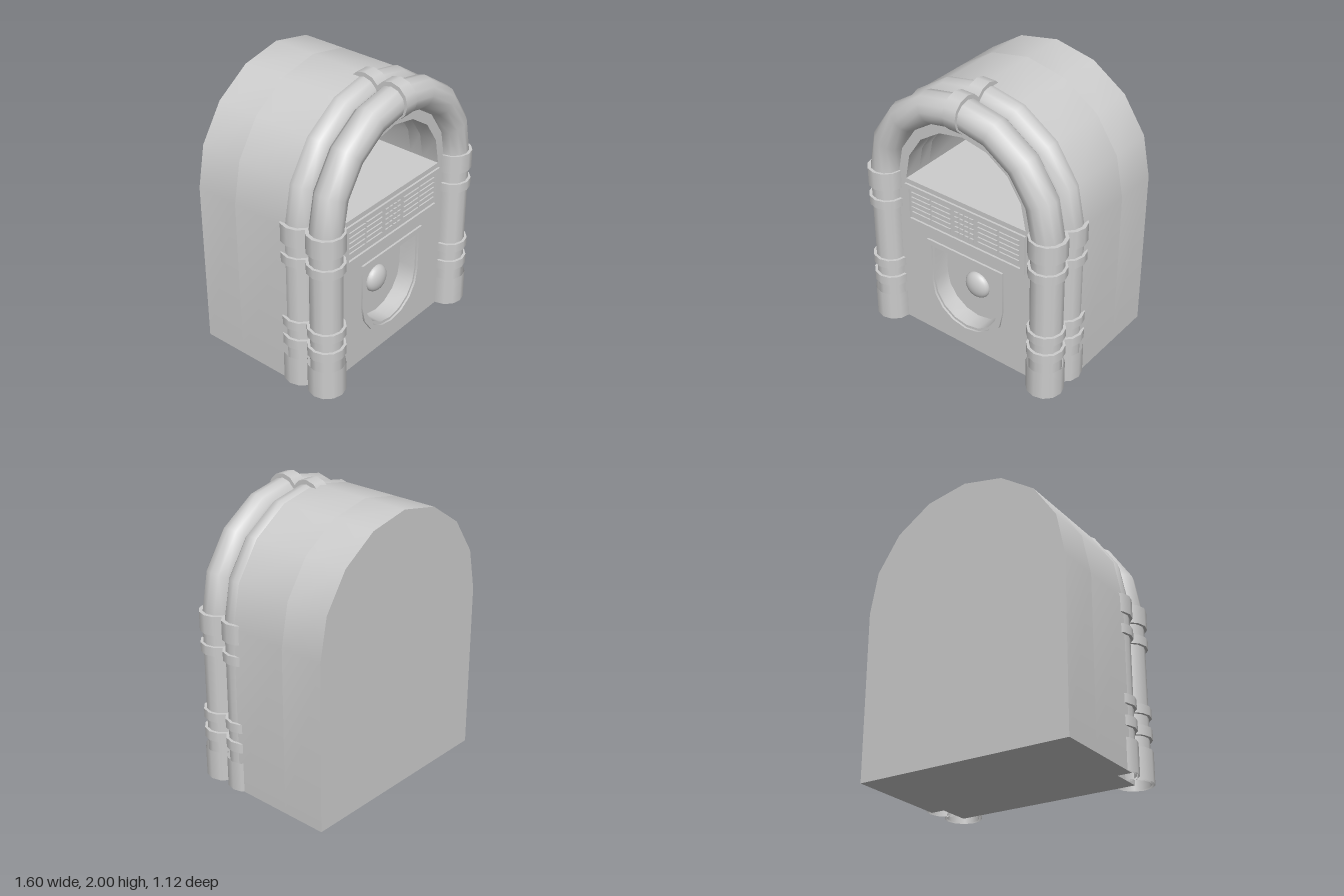
import * as THREE from 'three';
import { toCreasedNormals } from 'three/addons/utils/BufferGeometryUtils.js';

export function createModel() {
  const group = new THREE.Group();
  const grey = new THREE.MeshStandardMaterial({ color: 0xcccccc, side: THREE.DoubleSide });
  grey.name = 'light grey';

  const add = (name, geometry, x = 0, y = 0, z = 0) => {
    const mesh = new THREE.Mesh(geometry, grey);
    mesh.name = name;
    mesh.position.set(x, y, z);
    group.add(mesh);
    return mesh;
  };

  // Outline helpers: eight-sided half circles with straight edges
  const half = (r, cy, from) => Array.from({ length: 9 }, (_, i) => {
    const a = from + (i * Math.PI) / 8;
    return new THREE.Vector2(r * Math.cos(a), cy + r * Math.sin(a));
  });
  const V = (x, y) => new THREE.Vector2(x, y);
  const arch = (r, base, spring) => [V(-r, base), V(r, base), ...half(r, spring, 0)];
  const shield = (r, top, cy) => [V(r, top), V(-r, top), ...half(r, cy, Math.PI)];
  const rect = (w, y0, y1) => [V(-w, y0), V(w, y0), V(w, y1), V(-w, y1)];
  const slab = (name, outline, holes, z0, z1) => {
    const shape = new THREE.Shape(outline);
    holes.forEach((h) => shape.holes.push(new THREE.Path(h)));
    const geo = new THREE.ExtrudeGeometry(shape, { depth: z1 - z0, bevelEnabled: false });
    return add(name, toCreasedNormals(geo, 0.5), 0, 0, z0);
  };

  // Cabinet in layers, with the display window and coin tray recessed
  const windowHole = half(0.495, 1.19, 0);
  const trayHole = shield(0.27, 0.74, 0.45);
  slab('cabinetBack', arch(0.77, 0, 1.2), [], -0.56, -0.24);
  slab('cabinetMiddle', arch(0.77, 0, 1.2), [windowHole], -0.24, 0.2);
  slab('cabinetFront', arch(0.67, 0, 1.2), [windowHole], 0.2, 0.3);
  slab('frontPanel', arch(0.67, 0, 1.2), [windowHole, trayHole], 0.3, 0.43);

  // Records lying flat inside the window
  for (const y of [1.22, 1.35]) {
    add('record', new THREE.CircleGeometry(0.245, 24), 0, y, 0.13).rotation.x = -Math.PI / 2;
  }

  // Two nested arch tubes with columns, collars and a top clasp
  const collars = [[0, 0.22], [0.3, 0.37], [0.45, 0.515], [0.945, 1.01], [1.095, 1.23]];
  for (const z of [0.22, 0.43]) {
    add('archTube', new THREE.TorusGeometry(0.67, 0.11, 12, 8, Math.PI), 0, 1.2, z);
    for (const x of [-0.67, 0.67]) {
      add('column', new THREE.CylinderGeometry(0.11, 0.11, 1.2, 12, 1, true), x, 0.6, z);
      for (const [y0, y1] of collars) {
        add('collar', new THREE.CylinderGeometry(0.13, 0.13, y1 - y0, 12, 1, y0 === 0), x, (y0 + y1) / 2, z);
      }
    }
    add('topClasp', new THREE.CylinderGeometry(0.13, 0.13, 0.1, 12), 0, 1.87, z).rotation.z = Math.PI / 2;
  }

  // Selection panel with rows of title strips and keys
  slab('selectorFrame', rect(0.5, 0.86, 1.155), [rect(0.465, 0.89, 1.125)], 0.425, 0.445);
  const columns = [[-0.37, 0.16], [-0.195, 0.16], [0.195, 0.16], [0.37, 0.16]];
  for (let i = 0; i < 4; i++) columns.push([-0.063 + i * 0.042, 0.03]);
  for (let row = 0; row < 5; row++) {
    for (const [x, w] of columns) {
      add(w > 0.1 ? 'titleStrip' : 'key', new THREE.BoxGeometry(w, 0.027, 0.02), x, 0.931 + row * 0.039, 0.43);
    }
  }

  // Tray surround and rounded knob
  slab('trayFrame', shield(0.32, 0.78, 0.445), [shield(0.285, 0.74, 0.445)], 0.42, 0.445);
  add('knob', new THREE.SphereGeometry(0.1, 24, 16), 0, 0.455, 0.3).scale.z = 0.55;

  return group;
}
